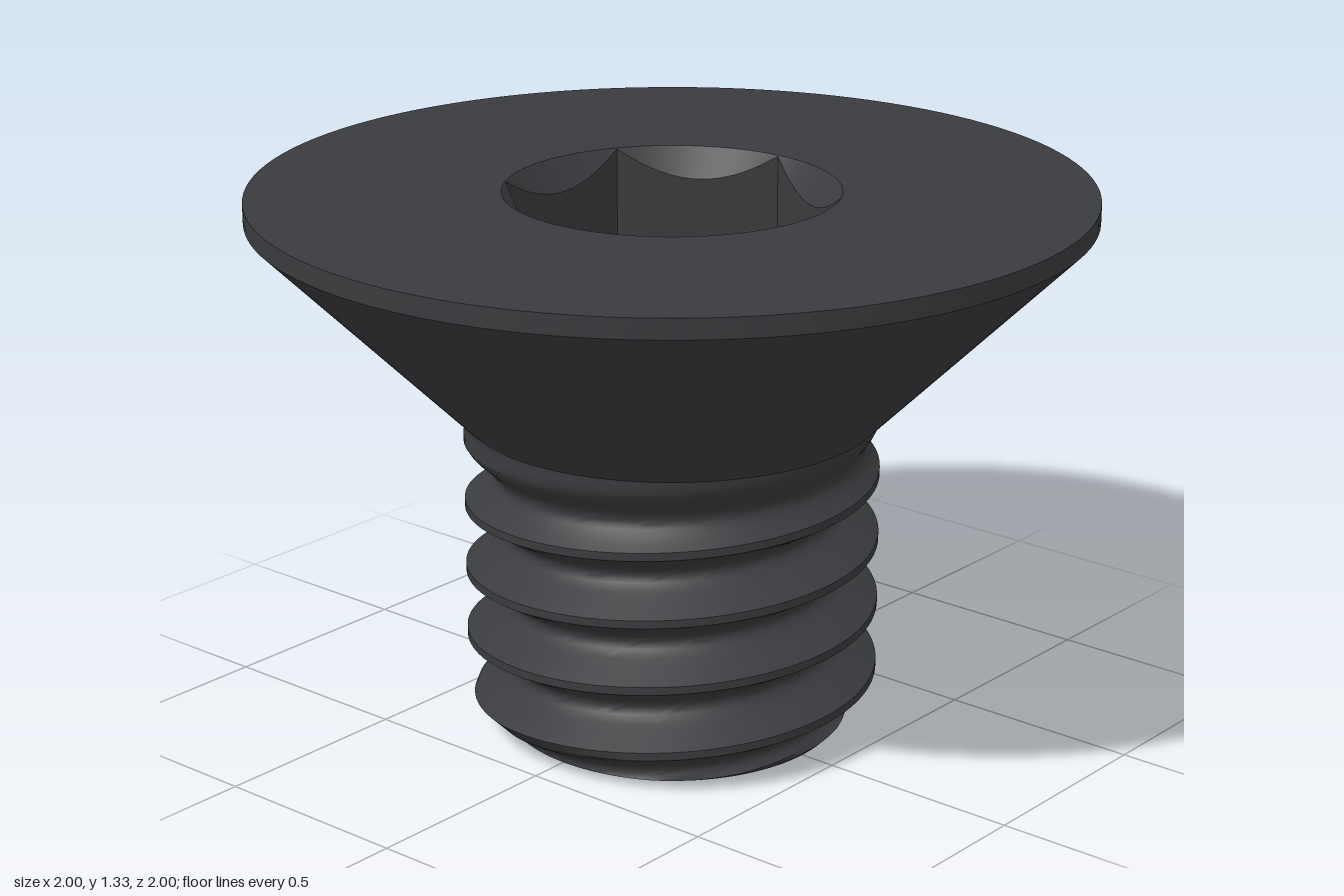
import * as THREE from 'three';
import { toCreasedNormals } from 'three/addons/utils/BufferGeometryUtils.js';

const SEGMENTS = 120;
const PITCH = 1 / 6;
const NECK_Y = 0.785, RIM_Y = 1.285, TOP_Y = 1.333;

// Grid wrapped around the y axis; at(row, angle) returns [radius, height].
// Rows run up the outside, inward over the top and down the inside.
function wrappedSurface(rows, at) {
  const positions = [], index = [];
  for (let i = 0; i < rows; i++) {
    for (let j = 0; j <= SEGMENTS; j++) {
      const a = (j / SEGMENTS) * Math.PI * 2;
      const [r, y] = at(i, a);
      positions.push(r * Math.cos(a), y, -r * Math.sin(a));
      if (i < rows - 1 && j < SEGMENTS) {
        const p = i * (SEGMENTS + 1) + j, q = p + SEGMENTS + 1;
        index.push(p, p + 1, q + 1, p, q + 1, q);
      }
    }
  }
  const geometry = new THREE.BufferGeometry();
  geometry.setAttribute('position', new THREE.Float32BufferAttribute(positions, 3));
  geometry.setIndex(index);
  return toCreasedNormals(geometry, 0.5);
}

// Thread radius at axial distance d from a crest: flat crest, 60 degree flank, round root
function threadRadius(d) {
  const slope = Math.sqrt(3), rootStart = 0.0504, half = PITCH / 2;
  if (d < 0.01) return 0.5;
  if (d < rootStart) return 0.5 - (d - 0.01) * slope;
  const rootRadius = 0.43 - (slope * (half - rootStart)) / 2;
  return rootRadius + (slope / (2 * (half - rootStart))) * (half - d) ** 2;
}

// Right-handed thread, chamfered at the tip and running out under the head
function threadedShank() {
  const side = [0.01, 0.0235, 0.037, 0.0504, 0.0586, 0.0668, 0.075];
  const offsets = [-PITCH / 2, ...side.map((d) => -d).reverse(), ...side];
  const heights = [];
  for (let turn = -1; turn <= 5; turn++) {
    for (const o of offsets) heights.push(turn * PITCH + o);
  }
  const shape = (row, a) => {
    if (row === 0) return [0, 0]; // centre of the flat tip
    const rise = 0.003 + (PITCH * a) / (Math.PI * 2);
    const y = THREE.MathUtils.clamp(heights[row - 1] + rise, 0, NECK_Y);
    const phase = (y - rise) / PITCH;
    const d = Math.abs(phase - Math.round(phase)) * PITCH;
    const runout = THREE.MathUtils.clamp((y - 0.59) / (NECK_Y - 0.59), 0, 1);
    const r = THREE.MathUtils.lerp(threadRadius(d), 0.5, runout);
    return [Math.min(r, 0.41 + y), y];
  };
  return wrappedSurface(heights.length + 1, shape);
}

// Countersunk head: cone, thin cylindrical rim, flat top with a round opening
function countersunkHead() {
  const profile = [[0.5, NECK_Y], [1, RIM_Y], [1, TOP_Y], [0.4, TOP_Y]];
  return wrappedSurface(profile.length, (row) => profile[row]);
}

// Hexagonal socket with a conical lead-in and a flat floor
function hexSocket() {
  const sector = Math.PI / 3, floorY = TOP_Y - 0.42;
  return wrappedSurface(4, (row, a) => {
    const local = a - Math.floor(a / sector + 1e-6) * sector - sector / 2;
    const hex = 0.345 / Math.cos(local);
    return [
      [0.4, TOP_Y],
      [hex, TOP_Y - (0.4 - hex) * 1.25],
      [hex, floorY],
      [0, floorY],
    ][row];
  });
}

export function createModel() {
  const group = new THREE.Group();
  group.name = 'countersunkScrew';
  const material = new THREE.MeshStandardMaterial({ color: 0x3a3b3e });
  const add = (name, geometry) => {
    const mesh = new THREE.Mesh(geometry, material);
    mesh.name = name;
    group.add(mesh);
  };
  add('threadedShank', threadedShank());
  add('countersunkHead', countersunkHead());
  add('hexSocket', hexSocket());
  return group;
}
